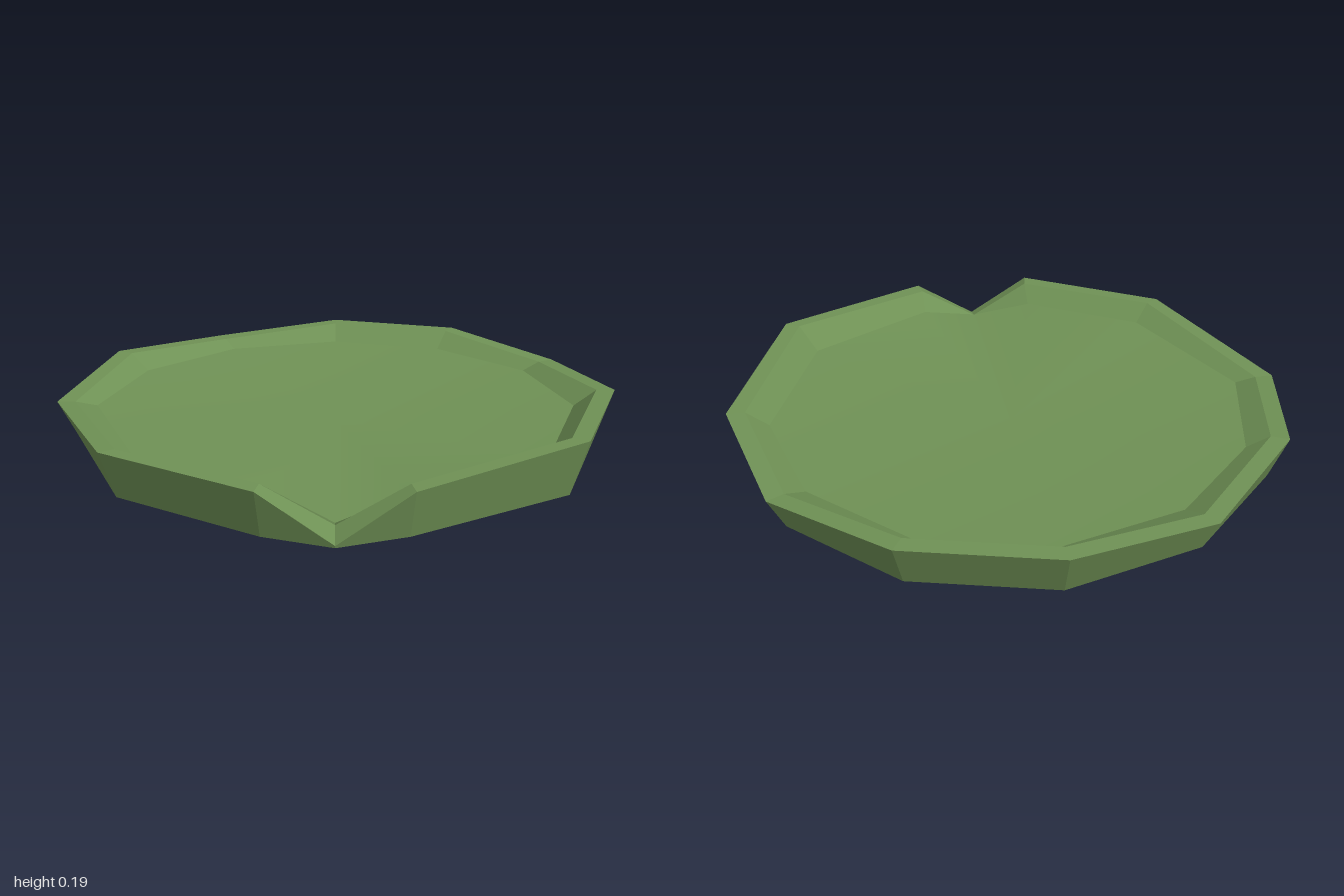
import * as THREE from 'three';

// Rim corners, clockwise from the back: outer edge x, z and height
const OUTER = [
  [0, -0.975, 0.16], [0.5, -0.84, 0.16], [0.865, -0.48, 0.125], [1, 0.02, 0.16],
  [0.785, 0.62, 0.19], [0.23, 0.945, 0.16], [0, 0.97, 0.004], [-0.23, 0.945, 0.16],
  [-0.73, 0.64, 0.16], [-1, 0.02, 0.115], [-0.865, -0.48, 0.16], [-0.5, -0.84, 0.125],
];
const N = OUTER.length;
const NOTCH = 6;

// Shrinks the outline; the three front corners take their own z values
function ring(scale, height, frontZ, notchZ) {
  return OUTER.map(([x, z, y], i) => {
    if (i === NOTCH) return [0, height(y, i), notchZ];
    if (Math.abs(i - NOTCH) === 1) return [x * 0.95, height(y, i), frontZ];
    return [x * scale, height(y, i), z * scale + (z > 0.1 ? 0.012 : 0)];
  });
}

// Strip of evenly shaded quads between two rings, each with one normal
function band(lower, upper) {
  const positions = [], normals = [], index = [];
  for (let i = 0; i < N; i++) {
    const j = (i + 1) % N;
    const [a, b, c, d] = [lower[i], upper[i], lower[j], upper[j]].map((p) => new THREE.Vector3(...p));
    const normal = d.clone().sub(a).cross(c.clone().sub(b)).normalize();
    for (const p of [a, b, c, d]) {
      positions.push(...p.toArray());
      normals.push(...normal.toArray());
    }
    const k = i * 4;
    index.push(k, k + 1, k + 2, k + 2, k + 1, k + 3);
  }
  const geometry = new THREE.BufferGeometry();
  geometry.setAttribute('position', new THREE.Float32BufferAttribute(positions, 3));
  geometry.setAttribute('normal', new THREE.Float32BufferAttribute(normals, 3));
  geometry.setIndex(index);
  return geometry;
}

// Smooth fan from a ring to a centre point; up picks the visible side
function fan(edge, centreY, up) {
  const index = [];
  for (let i = 0; i < N; i++) {
    const j = (i + 1) % N;
    index.push(N, ...(up ? [j, i] : [i, j]));
  }
  const geometry = new THREE.BufferGeometry();
  geometry.setAttribute('position', new THREE.Float32BufferAttribute([...edge, [0, centreY, 0]].flat(), 3));
  geometry.setIndex(index);
  geometry.computeVertexNormals();
  return geometry;
}

export function createModel() {
  const group = new THREE.Group();
  group.name = 'lilyPad';
  const green = new THREE.MeshStandardMaterial({ color: 0x6f9155 });
  green.name = 'leafGreen';

  const add = (name, geometry) => {
    const mesh = new THREE.Mesh(geometry, green);
    mesh.name = name;
    group.add(mesh);
  };

  const base = ring(0.94, () => 0, 0.9, 0.975);
  const outer = OUTER.map(([x, z, y]) => [x, y, z]);
  const rimInner = ring(0.935, (y, i) => (i === NOTCH ? 0.03 : y), 0.885, 0.885);
  const floorEdge = ring(0.857, (y, i) => (i === NOTCH ? 0.035 : 0.1), 0.81, 0.88);

  add('underside', fan(base, 0, false));
  add('outerWall', band(base, outer));
  add('rim', band(outer, rimInner));
  add('innerWall', band(rimInner, floorEdge));
  // Shallow dished leaf surface
  add('leafSurface', fan(floorEdge, 0.04, true));
  return group;
}
